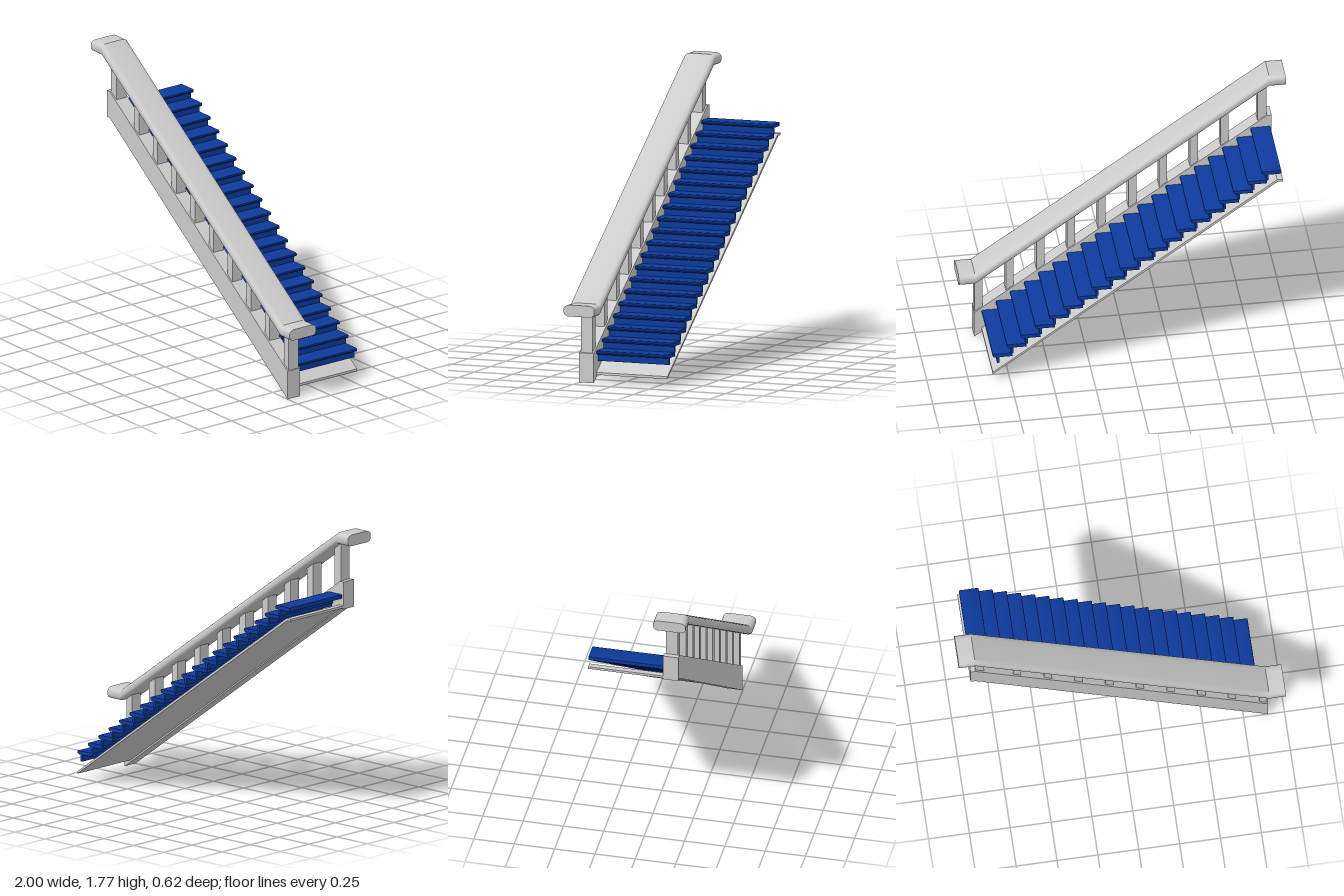
import * as THREE from 'three';
import { toCreasedNormals } from 'three/addons/utils/BufferGeometryUtils.js';

const grey = new THREE.MeshStandardMaterial({ color: 0xcccccc });
const blue = new THREE.MeshStandardMaterial({ color: 0x0d3a9c });

const SLOPE = 0.715;
const STEPS = 20, GOING = 0.0866, RISE = 0.0625;

// Side profile in x/y, extruded from z0 to z1
function slab(name, points, z0, z1, material) {
  const shape = new THREE.Shape(points.map(([x, y]) => new THREE.Vector2(x, y)));
  const geo = new THREE.ExtrudeGeometry(shape, { depth: z1 - z0, bevelEnabled: false });
  geo.translate(0, 0, z0);
  const mesh = new THREE.Mesh(toCreasedNormals(geo, 0.6), material);
  mesh.name = name;
  return mesh;
}

const stringerTop = (x) => 0.18 + (0.9 - x) * SLOPE;
const railHeight = (x) => 0.45 + (0.9 - THREE.MathUtils.clamp(x, -0.9, 0.9)) * 0.714;

// Handrail: straight moulding sheared to follow the stair, level at both ends
function handrail() {
  const s = new THREE.Shape();
  s.moveTo(-0.075, -0.035);
  s.lineTo(0.075, -0.035);
  s.quadraticCurveTo(0.095, -0.032, 0.1, -0.012);
  s.lineTo(0.1, 0.012);
  s.quadraticCurveTo(0.095, 0.032, 0.065, 0.035);
  s.lineTo(-0.065, 0.035);
  s.quadraticCurveTo(-0.095, 0.032, -0.1, 0.012);
  s.lineTo(-0.1, -0.012);
  s.quadraticCurveTo(-0.095, -0.032, -0.075, -0.035);
  const geo = new THREE.ExtrudeGeometry(s, { depth: 2, steps: 20, curveSegments: 5, bevelEnabled: false });
  geo.translate(0, 0, -1);
  geo.rotateY(Math.PI / 2);
  const p = geo.attributes.position;
  for (let i = 0; i < p.count; i++) p.setY(i, p.getY(i) + railHeight(p.getX(i)));
  geo.translate(0, 0, 0.21);
  const mesh = new THREE.Mesh(toCreasedNormals(geo, 0.6), grey);
  mesh.name = 'handrail';
  return mesh;
}

export function createModel() {
  const model = new THREE.Group();
  model.name = 'staircase';

  // Side board carrying the balusters
  model.add(slab('stringer', [
    [-0.92, 1.29], [-0.89, 1.29], [0.9, 0], [0.9, 0.18], [-0.89, 1.46], [-0.92, 1.46],
  ], 0.155, 0.25, grey));

  // Thin sloping panel under the steps
  model.add(slab('soffit', [
    [-0.92, 1.298], [-0.89, 1.298], [0.855, 0.045], [0.855, 0.06], [-0.885, 1.313], [-0.92, 1.313],
  ], -0.31, 0.16, grey));

  model.add(handrail());

  // Balusters, cut to the slope at both ends
  const balusters = new THREE.Group();
  balusters.name = 'balusters';
  for (let i = 0; i < 10; i++) {
    const x0 = i === 0 ? -0.89 : i === 9 ? 0.848 : -0.657 + (i - 1) * 0.1878;
    const x1 = x0 + (i === 0 ? 0.055 : 0.048);
    balusters.add(slab('baluster', [
      [x0, stringerTop(x0) - 0.02], [x1, stringerTop(x1) - 0.02],
      [x1, railHeight(x1) - 0.02], [x0, railHeight(x0) - 0.02],
    ], 0.165, 0.24, grey));
  }
  model.add(balusters);

  // Treads with rounded nosings, each on a set-back riser
  const steps = new THREE.Group();
  steps.name = 'steps';
  for (let k = 0; k < STEPS; k++) {
    const x = -0.79 + k * GOING, y = 1.38 - k * RISE;
    steps.add(slab('tread', [
      [x - 0.12, y - 0.024], [x - 0.012, y - 0.024], [x - 0.004, y - 0.02], [x, y - 0.012],
      [x - 0.002, y - 0.004], [x - 0.009, y], [x - 0.12, y],
    ], -0.31, 0.16, blue));
    steps.add(slab('riser', [
      [x - 0.042, y - 0.065], [x - 0.027, y - 0.065], [x - 0.027, y - 0.02], [x - 0.042, y - 0.02],
    ], -0.31, 0.16, blue));
  }
  model.add(steps);
  return model;
}
